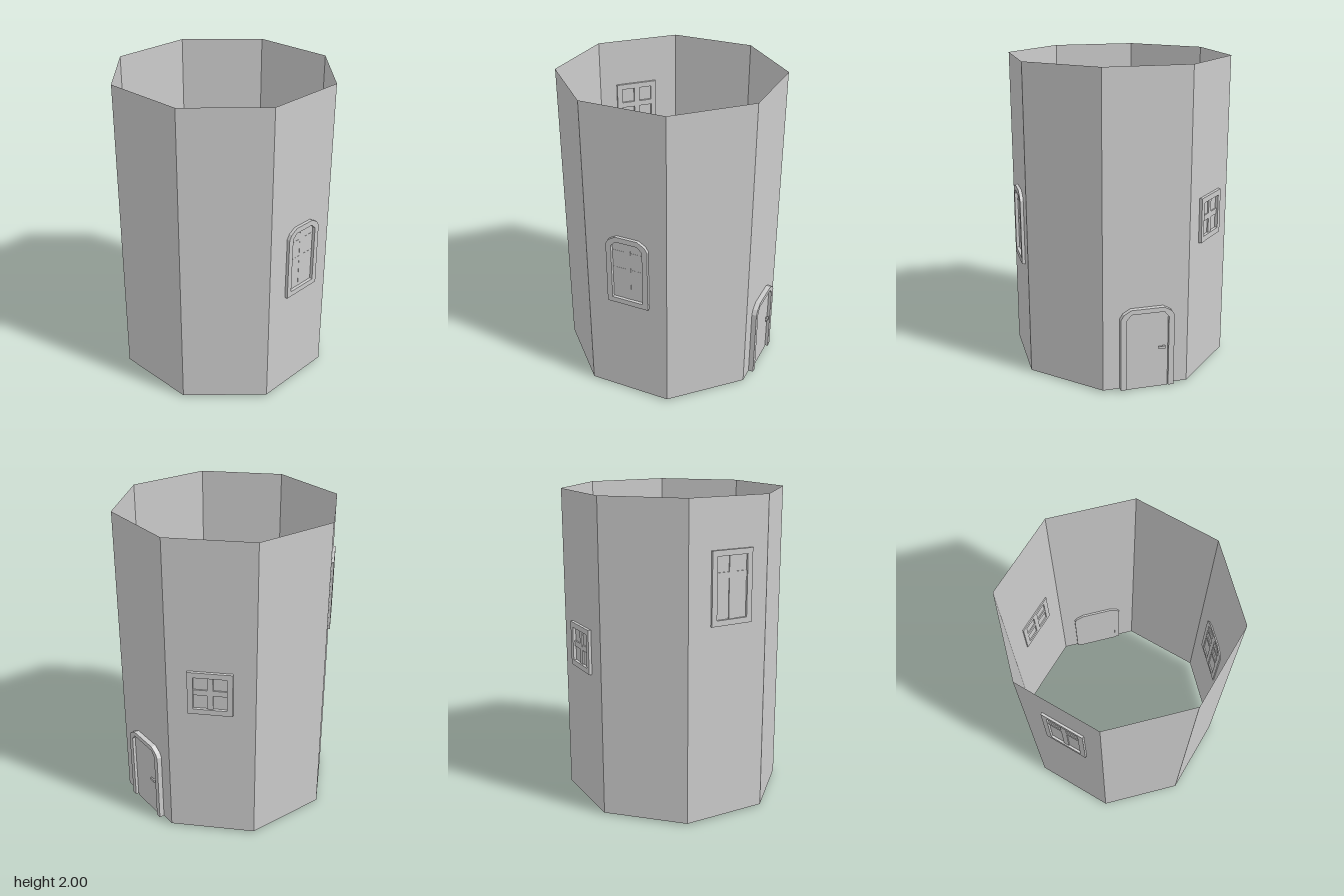
import * as THREE from 'three';

const material = new THREE.MeshStandardMaterial({ color: 0xcccccc, flatShading: true });
const wallMaterial = new THREE.MeshStandardMaterial({ color: 0xcccccc, flatShading: true, side: THREE.DoubleSide });

// Outline of an opening: a rectangle, or one whose top corners are cut in steps.
// cuts lists [inset from the side, drop from the top], going up the right side.
function outline(PathType, x0, x1, y0, y1, cuts) {
  const right = cuts.length ? cuts : [[0, 0]];
  const points = [
    [x0, y0], [x1, y0],
    ...right.map(([i, d]) => [x1 - i, y1 - d]),
    ...[...right].reverse().map(([i, d]) => [x0 + i, y1 - d]),
  ];
  return new PathType(points.map(([x, y]) => new THREE.Vector2(x, y)));
}

function extrude(name, shape, back, front) {
  const geometry = new THREE.ExtrudeGeometry(shape, { depth: front - back, bevelEnabled: false });
  geometry.translate(0, 0, back);
  const mesh = new THREE.Mesh(geometry, material);
  mesh.name = name;
  return mesh;
}

function box(name, w, h, x, y, back, front) {
  const mesh = new THREE.Mesh(new THREE.BoxGeometry(w, h, front - back), material);
  mesh.position.set(x, y, (back + front) / 2);
  mesh.name = name;
  return mesh;
}

// Group turned so its local z points out of one wall face
function onFace(name, degrees) {
  const group = new THREE.Group();
  group.name = name;
  group.rotation.y = THREE.MathUtils.degToRad(degrees);
  return group;
}

const OUTER_CUTS = [[0, 0.058], [0.018, 0.028], [0.066, 0]];
const INNER_CUTS = [[0, 0.032], [0.032, 0]];

function makeWindow({ name, degrees, x, y0, y1, back, front, barFront, bars, arched }) {
  const group = onFace(name, degrees);
  const half = 0.139, border = 0.035, barWidth = 0.036;
  const shape = outline(THREE.Shape, x - half, x + half, y0, y1, arched ? OUTER_CUTS : []);
  shape.holes.push(outline(THREE.Path, x - half + border, x + half - border,
    y0 + border, y1 - border, arched ? INNER_CUTS : []));
  group.add(extrude('windowFrame', shape, back, front));

  // Glazing bars
  const innerHeight = y1 - y0 - 2 * border;
  group.add(box('verticalBar', barWidth, innerHeight, x, (y0 + y1) / 2, back, barFront));
  for (const y of bars) {
    group.add(box('horizontalBar', 2 * (half - border), barWidth, x, y, back + 0.001, barFront - 0.0004));
  }
  return group;
}

function makeDoor() {
  const group = onFace('door', 112.5);
  const x = 0.005, half = 0.171, border = 0.036, top = 0.54;
  const frame = outline(THREE.Shape, x - half, x + half, 0.01, top, OUTER_CUTS);
  // Doorway cut from the bottom so the frame has two legs
  const legs = new THREE.Shape();
  const inner = [
    [x + half - border, 0.01],
    [x + half - border, top - border - 0.03],
    [x + half - border - 0.03, top - 0.03],
    [x - half + border + 0.03, top - 0.03],
    [x - half + border, top - border - 0.03],
    [x - half + border, 0.01],
  ].map(([a, b]) => new THREE.Vector2(a, b));
  const outer = frame.getPoints().filter((p, i, all) => i === 0 || !p.equals(all[0]));
  legs.setFromPoints([outer[0], ...inner.slice().reverse(), ...outer.slice(1)]);
  group.add(extrude('doorFrame', legs, 0.643, 0.688));

  // Door leaf, reaching the ground
  const leaf = new THREE.Shape(inner.map((p) => new THREE.Vector2(p.x, p.y < 0.02 ? 0 : p.y)));
  group.add(extrude('doorLeaf', leaf, 0.644, 0.668));

  // Handle: stem and lever
  group.add(box('handleStem', 0.012, 0.014, 0.113, 0.27, 0.666, 0.682));
  group.add(box('handleLever', 0.045, 0.016, 0.098, 0.27, 0.678, 0.687));
  return group;
}

export function createModel() {
  const model = new THREE.Group();
  model.name = 'tower';

  // Eight-sided open wall
  const wall = new THREE.Mesh(new THREE.CylinderGeometry(0.71, 0.71, 1.99, 8, 1, true), wallMaterial);
  wall.name = 'wall';
  wall.position.y = 1.005;
  model.add(wall);

  model.add(makeDoor());
  model.add(makeWindow({
    name: 'frontArchedWindow', degrees: 22.5, x: 0.014, y0: 0.70, y1: 1.175,
    back: 0.648, front: 0.676, barFront: 0.6575, bars: [1.055, 0.935], arched: true,
  }));
  model.add(makeWindow({
    name: 'tallSideWindow', degrees: -112.5, x: 0.019, y0: 1.245, y1: 1.695,
    back: 0.641, front: 0.67, barFront: 0.662, bars: [1.545], arched: false,
  }));
  model.add(makeWindow({
    name: 'smallBackWindow', degrees: 157.5, x: -0.004, y0: 0.89, y1: 1.175,
    back: 0.648, front: 0.675, barFront: 0.665, bars: [1.035], arched: false,
  }));
  return model;
}
